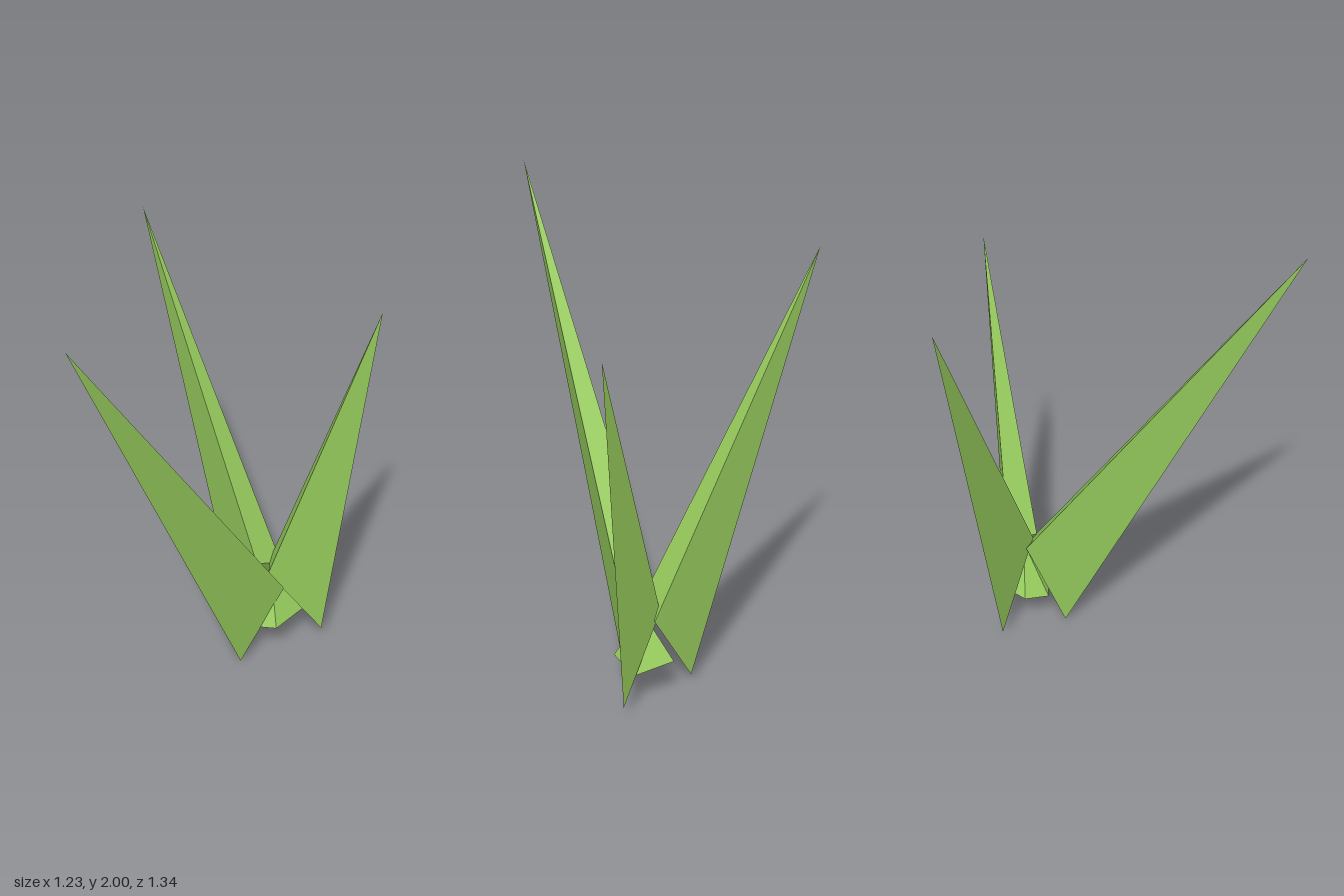
import * as THREE from 'three';
import { ConvexGeometry } from 'three/addons/geometries/ConvexGeometry.js';

// Convex faceted solid from a handful of corner points
function facetedSolid(name, corners, material) {
  const points = corners.map((c) => new THREE.Vector3(...c));
  const mesh = new THREE.Mesh(new ConvexGeometry(points), material);
  mesh.name = name;
  return mesh;
}

export function createModel() {
  const leafGreen = new THREE.MeshStandardMaterial({ color: 0x97cc5d, flatShading: true });
  leafGreen.name = 'leaf green';

  const plant = new THREE.Group();
  plant.name = 'grassTuft';

  // Each blade is a long three-sided spike: tip, low outer corner, two inner corners
  const blades = {
    frontBlade: [[-0.616, 2, 0.668], [0.055, 0, 0.03], [0.25, 0.33, -0.05], [0.11, 0.42, -0.13]],
    backBlade: [[-0.28, 1.865, -0.668], [0.067, 0.035, -0.27], [0.135, 0.445, -0.085], [0.25, 0.385, -0.16]],
    leftBlade: [[0.613, 1.67, -0.06], [0.425, 0.065, -0.08], [0.18, 0.42, -0.045], [0.205, 0.41, -0.17]],
  };
  for (const [name, corners] of Object.entries(blades)) {
    plant.add(facetedSolid(name, corners, leafGreen));
  }

  // Small faceted root poking out between the blades
  plant.add(facetedSolid('rootCore', [
    [0.2, 0.38, -0.1], [0.2, 0.1, -0.1],
    [0.21, 0.17, 0.027], [0.35, 0.175, -0.1], [0.22, 0.19, -0.235],
    [0.088, 0.16, -0.15], [0.08, 0.14, -0.04],
  ], leafGreen));

  return plant;
}
